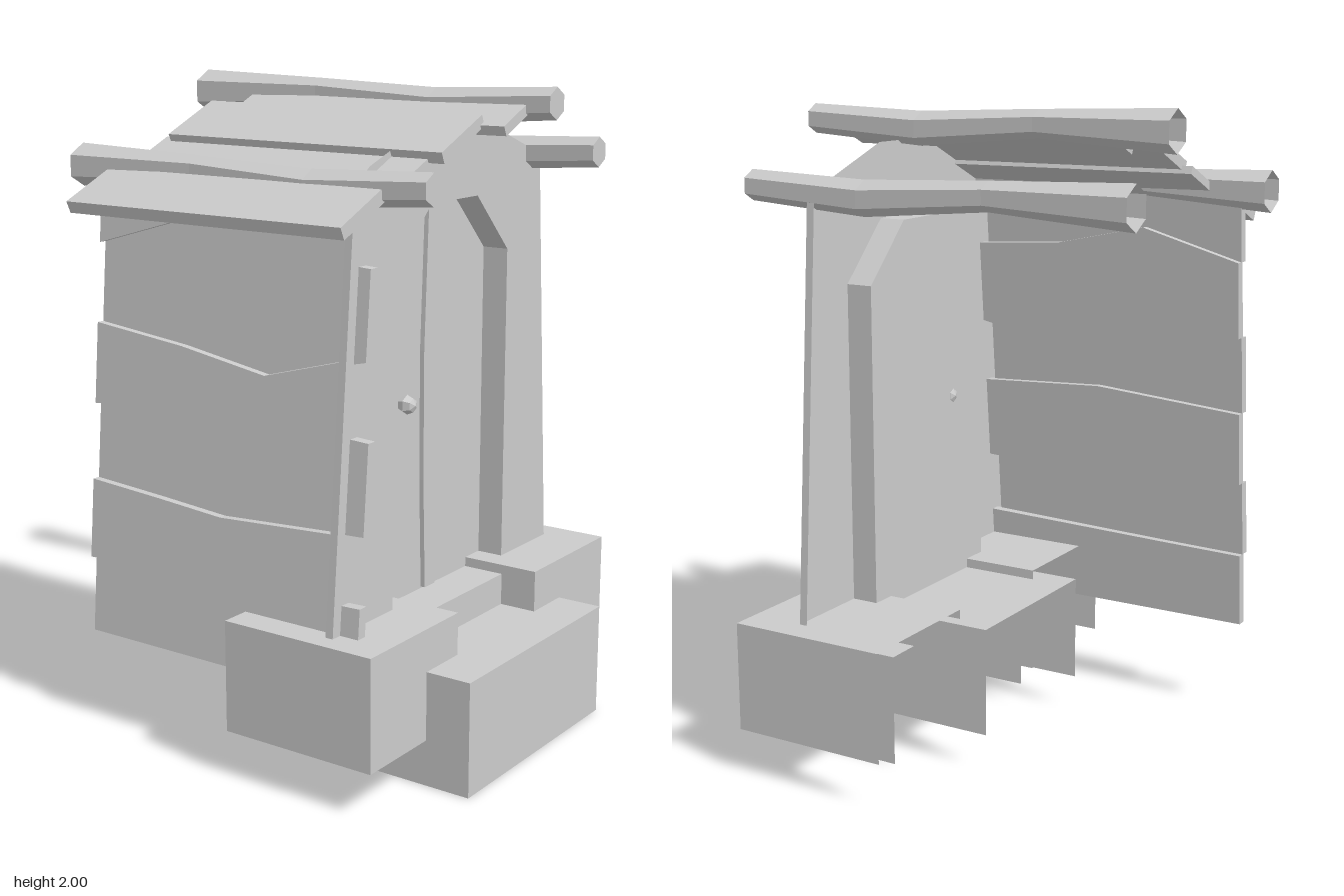
import * as THREE from 'three';

const material = new THREE.MeshStandardMaterial({ color: 0xcccccc, flatShading: true, side: THREE.DoubleSide });

export function createModel() {
  const model = new THREE.Group();

  const add = (name, geometry, parent = model) => {
    const mesh = new THREE.Mesh(geometry, material);
    mesh.name = name;
    parent.add(mesh);
    return mesh;
  };
  const shapeOf = (points) => new THREE.Shape(points.map(([x, y]) => new THREE.Vector2(x, y)));
  // Turns a flat (-z, y) outline to face +x at the given x
  const faceRight = (geometry, x) => geometry.rotateY(Math.PI / 2).translate(x, 0, 0);

  // Foundation stones: open underneath and on the hidden inner side
  const stone = (name, x0, x1, y0, y1, z0, z1) => {
    const g = new THREE.BoxGeometry(x1 - x0, y1 - y0, z1 - z0);
    const index = Array.from(g.index.array);
    g.setIndex([0, 2, 4, 5].flatMap((f) => index.slice(f * 6, f * 6 + 6)));
    g.clearGroups();
    g.translate((x0 + x1) / 2, (y0 + y1) / 2, (z0 + z1) / 2);
    add(name, g);
  };
  stone('lowerStep', 0.15, 0.665, 0, 0.35, -0.4, 0.375);
  stone('thresholdStone', -0.11, 0.4, 0.11, 0.45, -0.285, 0.285);
  stone('frontStone', 0.01, 0.52, 0.14, 0.48, 0.21, 0.655);
  stone('backStone', 0.01, 0.52, 0.14, 0.48, -0.685, -0.24);

  // Door wall: a sheet with an arched doorway
  const wallX = 0.35, doorX = 0.265;
  const wallPoints = [[-0.603, 0.4], [0.603, 0.4], [0.51, 1.73], [0.42, 1.78], [0.14, 1.88],
    [-0.14, 1.88], [-0.42, 1.78], [-0.49, 1.73]];
  const doorway = [[-0.3, 0.45], [0.32, 0.45], [0.32, 1.47], [0.14, 1.65], [-0.11, 1.65], [-0.3, 1.47]];
  const wallShape = shapeOf(wallPoints);
  wallShape.holes.push(new THREE.Path(shapeOf(doorway).getPoints()));
  add('doorWall', faceRight(new THREE.ShapeGeometry(wallShape), wallX));

  // Strip of quads joining an outline at x0 to the same outline at x1
  const band = (points, x0, x1) => {
    const positions = [], index = [];
    points.forEach(([u, y], i) => {
      positions.push(x0, y, -u, x1, y, -u);
      if (i) index.push(2 * i - 2, 2 * i - 1, 2 * i, 2 * i - 1, 2 * i + 1, 2 * i);
    });
    const g = new THREE.BufferGeometry();
    g.setAttribute('position', new THREE.Float32BufferAttribute(positions, 3));
    g.setIndex(index);
    g.computeVertexNormals();
    return g.toNonIndexed();
  };
  add('wallEdgeBack', band([wallPoints[1], wallPoints[2]], 0.325, wallX));
  add('wallEdgeFront', band([wallPoints[0], wallPoints[7]], 0.325, wallX));
  add('doorFrame', band([...doorway.slice(1), doorway[0]], doorX, wallX));

  // Door with a bowed centre strip and a knob
  add('door', faceRight(new THREE.ShapeGeometry(shapeOf(doorway)), doorX));
  const strip = shapeOf([[-0.02, 0.455], [0.035, 0.455], [0.01, 0.8], [0.005, 1.2], [0.035, 1.65],
    [-0.015, 1.65], [-0.035, 1.2], [-0.033, 0.8]]);
  add('doorStrip', faceRight(new THREE.ExtrudeGeometry(strip, { depth: 0.015, bevelEnabled: false }), doorX));
  const knob = add('doorKnob', new THREE.SphereGeometry(0.03, 6, 4).rotateZ(Math.PI / 2));
  knob.position.set(0.285, 1.055, 0.132);

  // Front wall: leaning planks between wavy seams; every other one pokes through the door wall
  const seams = [
    [[-0.585, 0.3], [0, 0.3], [1, 0.3]],
    [[-0.585, 0.54], [-0.3, 0.547], [1, 0.568]],
    [[-0.585, 0.785], [-0.32, 0.768], [-0.08, 0.75], [1, 0.772]],
    [[-0.585, 1.02], [-0.08, 1.06], [1, 1.035]],
    [[-0.585, 1.267], [-0.25, 1.232], [0.06, 1.183], [1, 1.255]],
    [[-0.585, 1.508], [-0.26, 1.6], [0.05, 1.532], [1, 1.51]],
    [[-0.585, 1.73], [1, 1.73]],
  ];
  const frontWall = new THREE.Group();
  frontWall.name = 'frontWall';
  model.add(frontWall);
  for (let i = 0; i < 6; i++) {
    const inner = i % 2 === 0;
    const end = !inner ? 0.33 : i === 4 ? 0.39 : 0.412;
    const fit = (seam) => seam.map(([x, y]) => [Math.min(x, end), y]);
    const outline = [...fit(seams[i]), ...fit(seams[i + 1]).reverse()];
    const g = new THREE.ExtrudeGeometry(shapeOf(outline), { depth: 0.033, bevelEnabled: false });
    // lean the plank along the sloping wall edge
    const p = g.attributes.position;
    for (let k = 0; k < p.count; k++) {
      const edge = 0.63 - 0.087 * p.getY(k);
      p.setZ(k, edge + p.getZ(k) - (inner ? 0.06 : 0.036));
    }
    g.computeVertexNormals();
    add('wallPlank', g, frontWall);
  }

  // Roof planks: x range, z range, thickness, lift above the slope, yaw
  const slope = Math.atan(0.45);
  const roof = new THREE.Group();
  roof.name = 'roof';
  model.add(roof);
  [
    [-0.37, 0.6, 0, 0.13, 0.03, -0.01, 0],
    [-0.458, 0.522, 0.115, 0.315, 0.035, 0.012, -0.012],
    [-0.495, 0.468, 0.285, 0.43, 0.025, -0.008, -0.015],
    [-0.537, 0.443, 0.49, 0.673, 0.038, 0, -0.005],
  ].forEach(([x0, x1, z0, z1, t, lift, yaw]) => {
    const z = (z0 + z1) / 2;
    const g = new THREE.BoxGeometry(x1 - x0, t, (z1 - z0) / Math.cos(slope)).rotateY(yaw);
    const plank = add('roofPlank', g, roof);
    plank.rotation.x = slope;
    plank.position.set((x0 + x1) / 2, 1.935 - 0.45 * z + lift, z);
  });

  // Wavy six-sided poles: capped on the door side, hollow at the other end
  // Sections along the pole: x, radius, height offset
  const sections = [[-0.63, 0.065, 0], [-0.18, 0.043, 0.008], [0.23, 0.053, -0.018], [0.63, 0.046, 0.002]];
  const pole = (name, x, y, z) => {
    const positions = [], index = [];
    sections.forEach(([sx, r, dy], s) => {
      for (let i = 0; i < 6; i++) {
        const a = i * Math.PI / 3;
        positions.push(sx, dy + r * Math.cos(a), r * Math.sin(a));
        if (s) {
          const b = s * 6 + i, c = s * 6 + (i + 1) % 6;
          index.push(b - 6, c - 6, b, c - 6, c, b);
        }
      }
    });
    const last = (sections.length - 1) * 6;
    for (let i = 1; i < 5; i++) index.push(last, last + i, last + i + 1);
    const g = new THREE.BufferGeometry();
    g.setAttribute('position', new THREE.Float32BufferAttribute(positions, 3));
    g.setIndex(index);
    const flat = g.toNonIndexed();
    flat.computeVertexNormals();
    add(name, flat).position.set(x, y, z);
  };
  pole('ridgePole', 0.045, 1.935, -0.022);
  pole('frontPole', -0.05, 1.732, 0.455);
  pole('backPole', -0.05, 1.765, -0.465);

  return model;
}
